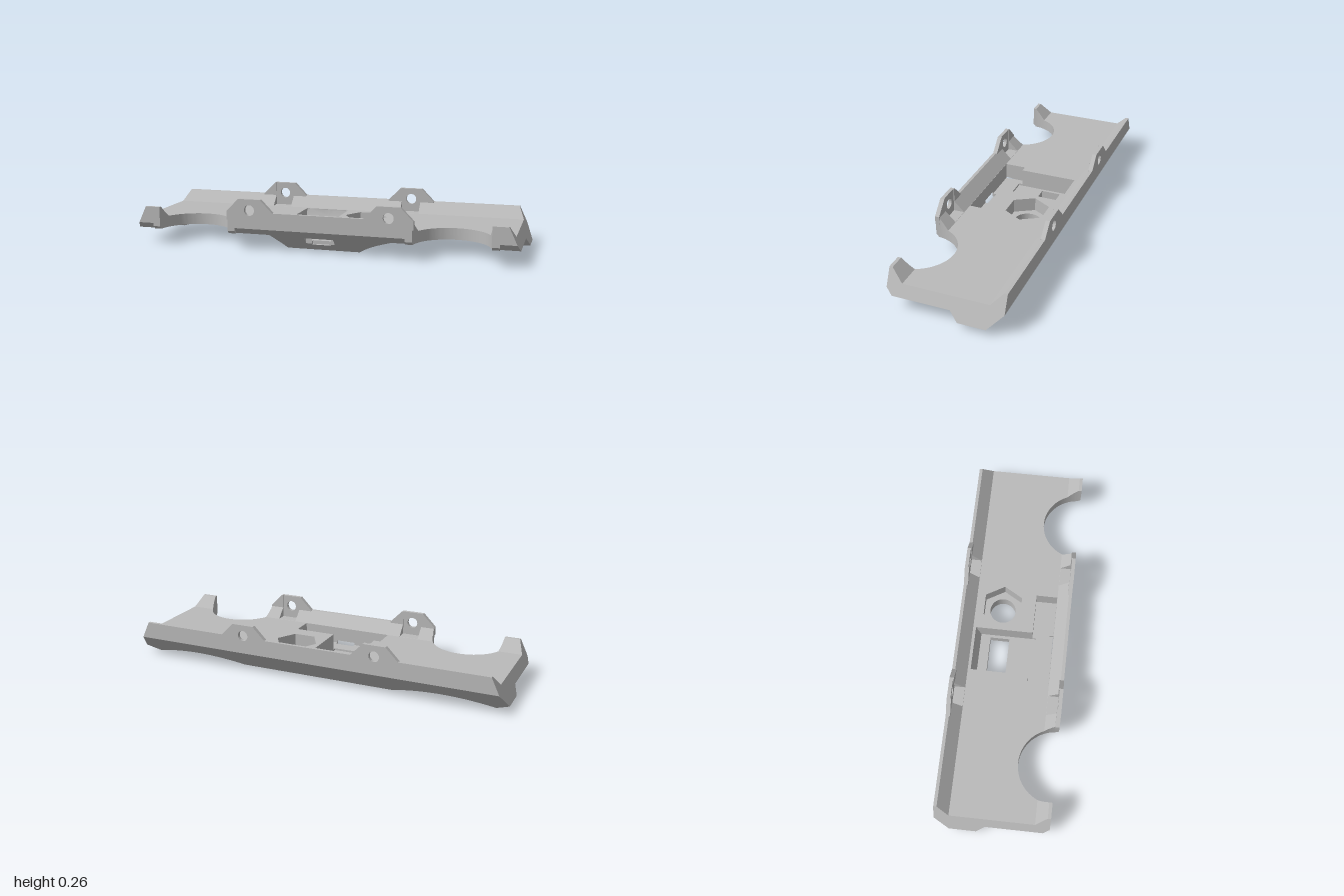
import * as THREE from 'three';
import { toCreasedNormals } from 'three/addons/utils/BufferGeometryUtils.js';

const EPS = 1e-5;

// Compact solid modelling: polygons are { v: [Vector3], n: normal, w: offset }
const poly = (v, n, w) => ({ v, n, w });
const flip = (p) => poly([...p.v].reverse(), p.n.clone().negate(), -p.w);

function split(plane, p, coF, coB, front, back) {
  const d = p.v.map((a) => plane.n.dot(a) - plane.w);
  const hasF = d.some((t) => t > EPS), hasB = d.some((t) => t < -EPS);
  if (!hasF && !hasB) (plane.n.dot(p.n) > 0 ? coF : coB).push(p);
  else if (!hasB) front.push(p);
  else if (!hasF) back.push(p);
  else {
    const f = [], b = [];
    p.v.forEach((a, i) => {
      const j = (i + 1) % p.v.length;
      if (d[i] >= -EPS) f.push(a);
      if (d[i] <= EPS) b.push(a);
      if ((d[i] > EPS && d[j] < -EPS) || (d[i] < -EPS && d[j] > EPS)) {
        const m = a.clone().lerp(p.v[j], d[i] / (d[i] - d[j]));
        f.push(m);
        b.push(m);
      }
    });
    if (f.length > 2) front.push(poly(f, p.n, p.w));
    if (b.length > 2) back.push(poly(b, p.n, p.w));
  }
}

class Tree {
  constructor(list) {
    this.own = [];
    if (list && list.length) this.build(list);
  }
  build(list) {
    if (!this.n) { this.n = list[0].n.clone(); this.w = list[0].w; }
    const f = [], b = [];
    list.forEach((p) => split(this, p, this.own, this.own, f, b));
    if (f.length) (this.front ??= new Tree()).build(f);
    if (b.length) (this.back ??= new Tree()).build(b);
  }
  invert() {
    this.own = this.own.map(flip);
    this.n.negate();
    this.w = -this.w;
    this.front?.invert();
    this.back?.invert();
    [this.front, this.back] = [this.back, this.front];
    return this;
  }
  clip(list) {
    const f = [], b = [];
    list.forEach((p) => split(this, p, f, b, f, b));
    return (this.front ? this.front.clip(f) : f).concat(this.back ? this.back.clip(b) : []);
  }
  clipTo(t) {
    this.own = t.clip(this.own);
    this.front?.clipTo(t);
    this.back?.clipTo(t);
    return this;
  }
  all() {
    return this.own.concat(this.front?.all() ?? [], this.back?.all() ?? []);
  }
}

function union(p, q) {
  const a = new Tree(p), b = new Tree(q);
  a.clipTo(b);
  b.clipTo(a).invert().clipTo(a).invert();
  return a.all().concat(b.all());
}
const subtract = (p, q) => union(p.map(flip), q).map(flip);
const intersect = (p, q) => subtract(p, q.map(flip)).filter(Boolean);

function solid(geo) {
  const g = geo.index ? geo.toNonIndexed() : geo, pos = g.attributes.position, out = [];
  for (let i = 0; i < pos.count; i += 3) {
    const v = [0, 1, 2].map((k) => new THREE.Vector3().fromBufferAttribute(pos, i + k));
    const n = v[1].clone().sub(v[0]).cross(v[2].clone().sub(v[0]));
    if (n.length() < 1e-10) continue;
    n.normalize();
    out.push(poly(v, n, n.dot(v[0])));
  }
  return out;
}

function toGeometry(list) {
  const a = [];
  list.forEach(({ v }) => {
    for (let i = 2; i < v.length; i++) [v[0], v[i - 1], v[i]].forEach((q) => a.push(q.x, q.y, q.z));
  });
  const g = new THREE.BufferGeometry();
  g.setAttribute('position', new THREE.Float32BufferAttribute(a, 3));
  return toCreasedNormals(g, 0.4);
}

// Part helpers
const box = (x0, x1, y0, y1, z0, z1) => solid(new THREE.BoxGeometry(x1 - x0, y1 - y0, z1 - z0)
  .translate((x0 + x1) / 2, (y0 + y1) / 2, (z0 + z1) / 2));
const drum = (x, z, rTop, rBottom, y0, y1, sides = 64) => solid(
  new THREE.CylinderGeometry(rTop, rBottom, y1 - y0, sides).translate(x, (y0 + y1) / 2, z));
const extrude = (pts, depth) => new THREE.ExtrudeGeometry(
  new THREE.Shape(pts.map(([x, y]) => new THREE.Vector2(x, y))), { depth, bevelEnabled: false });
// outline in (x, y), running from z0 to z1
const prismZ = (pts, z0, z1) => solid(extrude(pts, z1 - z0).translate(0, 0, z0));
// outline in (z, y), running from x0 to x1
const prismX = (pts, x0, x1) => solid(extrude(pts, x1 - x0).rotateY(-Math.PI / 2).translate(x1, 0, 0));

export function createModel() {
  const grey = new THREE.MeshStandardMaterial({ color: 0xbababa });
  grey.name = 'grey';

  // Tray with raised front and back rims and chamfered underside
  let body = prismX([[-0.175, 0], [0.175, 0], [0.283, 0.108], [0.283, 0.193], [0.267, 0.193], [0.21, 0.135],
    [-0.21, 0.135], [-0.267, 0.193], [-0.283, 0.193], [-0.283, 0.108]], -1.1, 1.1);
  // Slanted ends
  body = intersect(body, prismZ([[-0.93, 0], [-0.93, -0.1], [0.93, -0.1], [0.93, 0], [1, 0.034],
    [0.922, 0.2], [0.922, 0.3], [-0.922, 0.3], [-0.922, 0.2], [-1, 0.034]], -0.5, 0.5));

  for (const s of [-1, 1]) {
    // Conical hollow under each wheel, collar and round cutout
    body = subtract(body, drum(s * 0.67, 0.235, 0.409, 0.536, -0.05, 0.077, 96));
    const collar = intersect(drum(s * 0.66, 0.285, 0.225, 0.225, 0.077, 0.125),
      prismX([[0, 0.05], [0.243, 0.05], [0.283, 0.092], [0.283, 0.15], [0, 0.15]], -1, 1));
    body = union(body, collar);
    body = subtract(body, drum(s * 0.66, 0.285, 0.188, 0.188, -0.1, 0.4));

    // Bolt tabs on both rims, with a nut slot and a hole
    for (const f of [-1, 1]) {
      const tab = [[-0.122, 0.15], [0.122, 0.15], [0.122, 0.193], [0.058, 0.258], [-0.058, 0.258], [-0.122, 0.193]]
        .map(([x, y]) => [x + s * 0.355, y]);
      body = union(body, f > 0 ? prismZ(tab, 0.261, 0.283) : prismZ(tab, -0.283, -0.261));
      const x0 = s * 0.355 - 0.05, x1 = s * 0.355 + 0.05;
      body = subtract(body, f > 0 ? box(x0, x1, 0.136, 0.4, 0.2, 0.265) : box(x0, x1, 0.136, 0.4, -0.265, -0.2));
      body = subtract(body, solid(new THREE.CylinderGeometry(0.027, 0.027, 0.2, 32)
        .rotateX(Math.PI / 2).translate(s * 0.355, 0.202, f * 0.27)));
    }
  }

  // Switch pocket with a window through the floor
  body = subtract(body, prismX([[-0.195, 0.2], [-0.195, 0.13], [-0.17, 0.04], [0.12, 0.04], [0.12, 0.2]], -0.205, 0.025));
  body = subtract(body, box(-0.19, 0.01, -0.1, 0.1, -0.12, -0.02));
  // Front pocket with a port through the chamfer
  body = subtract(body, box(-0.24, 0.235, 0.05, 0.3, 0.1, 0.209));
  body = subtract(body, box(-0.05, 0.05, 0.032, 0.062, 0.19, 0.3));
  body = subtract(body, box(-0.08, 0.07, 0.02, 0.07, 0.213, 0.3));
  // Hexagonal nut seat and its round hole
  body = subtract(body, solid(new THREE.CylinderGeometry(0.11, 0.11, 0.2, 6)
    .rotateY(Math.PI / 6).translate(0.157, 0.165, -0.07)));
  body = subtract(body, drum(0.157, -0.07, 0.067, 0.067, -0.1, 0.3, 48));

  const mesh = new THREE.Mesh(toGeometry(body), grey);
  mesh.name = 'chassisTray';
  const group = new THREE.Group();
  group.name = 'chassis';
  group.add(mesh);
  return group;
}
